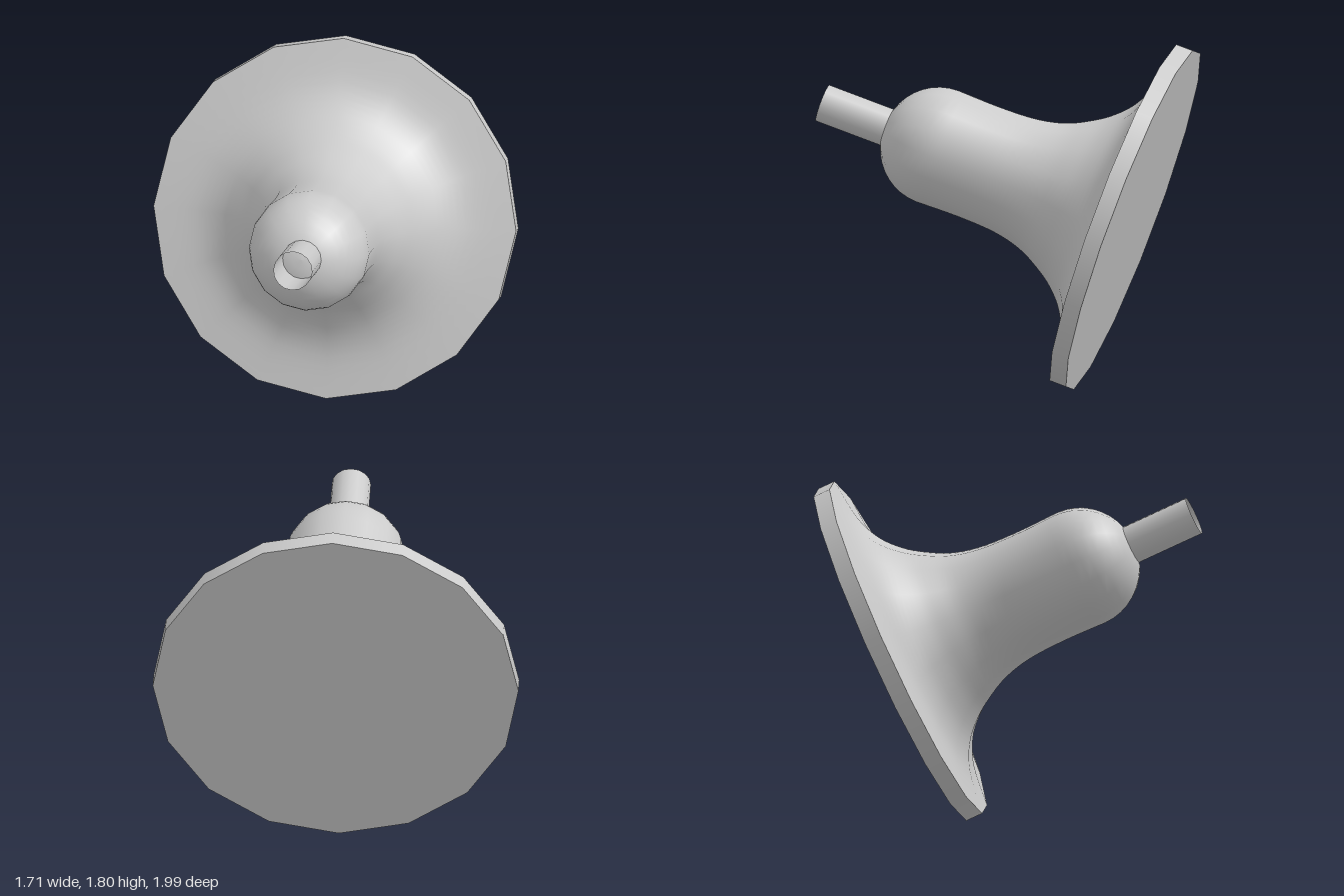
import * as THREE from 'three';

const SIDES = 16;
const RADIUS = 0.937, THICKNESS = 0.09;
const SHAFT_END = 0.98, SHAFT_RADIUS = 0.31, DOME_HEIGHT = 0.3;

const material = new THREE.MeshStandardMaterial({ color: 0xcccccc });
const openMaterial = new THREE.MeshStandardMaterial({ color: 0xcccccc, side: THREE.DoubleSide });

// Smooth surface of revolution from [radius, height] pairs
function lathe(name, profile, mat = material) {
  const points = profile.map(([r, y]) => new THREE.Vector2(r, y));
  const mesh = new THREE.Mesh(new THREE.LatheGeometry(points, SIDES), mat);
  mesh.name = name;
  return mesh;
}

export function createModel() {
  const model = new THREE.Group();
  model.name = 'flangedSpout';

  // Tilted assembly whose local y is the common axis
  const body = new THREE.Group();
  body.name = 'tiltedBody';
  const axis = new THREE.Vector3(0.432, 0.33, 0.84).normalize();
  const spoke = new THREE.Vector3(-0.14, 0.885, -0.276);
  spoke.addScaledVector(axis, -spoke.dot(axis)).normalize();
  const across = new THREE.Vector3().crossVectors(axis, spoke);
  body.quaternion.setFromRotationMatrix(new THREE.Matrix4().makeBasis(across, axis, spoke));
  body.position.set(0.02, 0.925, -0.415);
  model.add(body);

  // Flat back and crisp rim of the flange
  body.add(lathe('flangeBack', [[0, -THICKNESS], [RADIUS, -THICKNESS]]));
  body.add(lathe('flangeRim', [[RADIUS, -THICKNESS], [RADIUS, 0]]));

  // Flange face sweeping up into the shaft
  const flare = [
    [RADIUS, 0], [0.72, 0.03], [0.58, 0.09], [0.48, 0.18], [0.41, 0.28],
    [0.35, 0.4], [0.315, 0.55], [0.305, 0.75], [SHAFT_RADIUS, SHAFT_END],
  ];
  const curve = new THREE.SplineCurve(flare.map(([r, y]) => new THREE.Vector2(r, y)));
  const profile = curve.getPoints(32).map((p) => [p.x, p.y]);

  // Rounded end of the shaft
  const steps = 10;
  for (let i = 1; i <= steps; i++) {
    const a = (i / steps) * Math.PI / 2;
    const r = i === steps ? 0 : SHAFT_RADIUS * Math.cos(a);
    profile.push([r, SHAFT_END + DOME_HEIGHT * Math.sin(a)]);
  }
  body.add(lathe('flaredShaft', profile));

  // Open thin tube at the tip
  body.add(lathe('spoutTube', [[0.1, 1.24], [0.1, 1.62]], openMaterial));

  return model;
}
